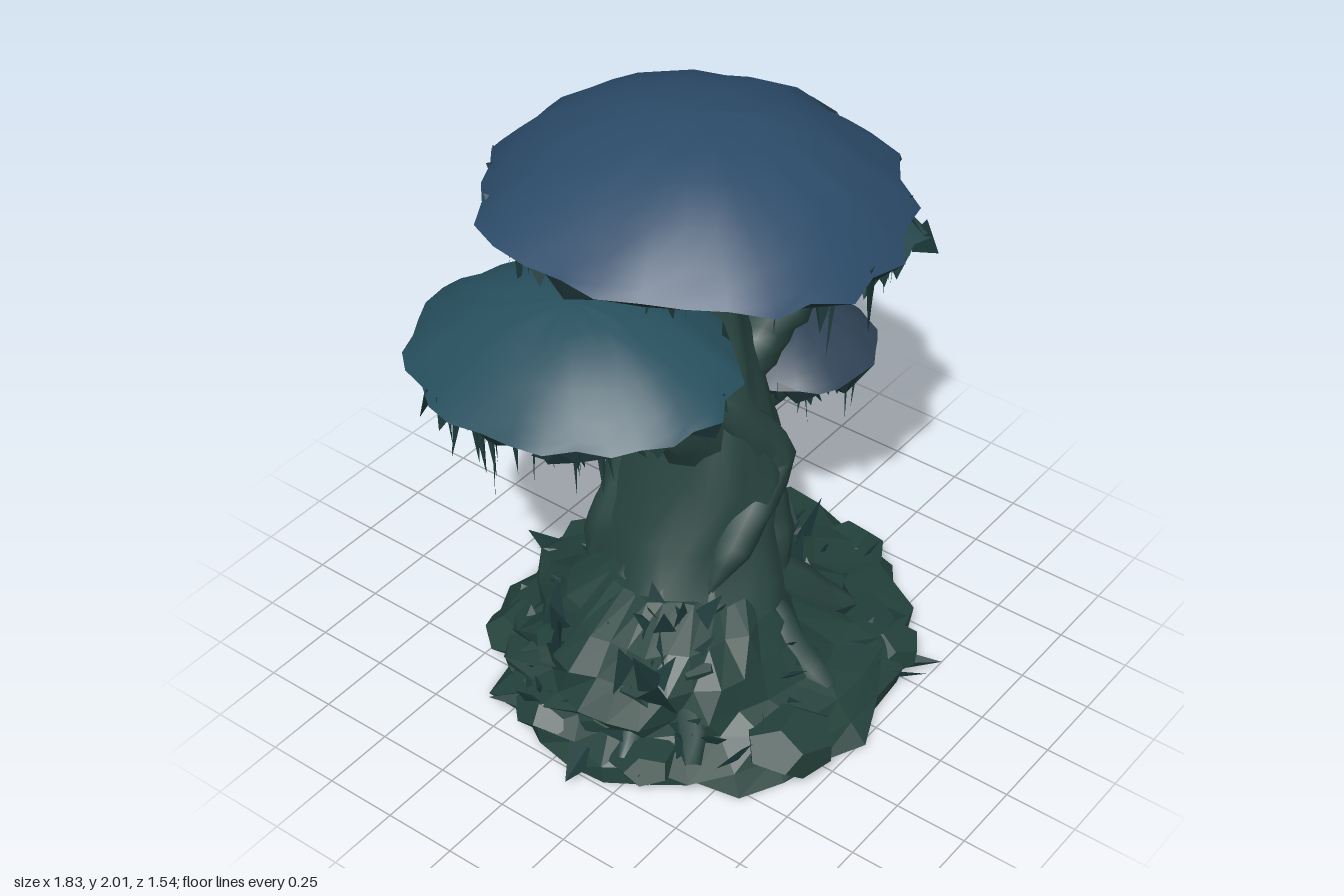
import * as THREE from 'three';
import { mergeGeometries } from 'three/addons/utils/BufferGeometryUtils.js';

let seed = 7;
const rnd = (a = 0, b = 1) => {
  seed = (seed * 16807) % 2147483647;
  return a + (b - a) * (seed / 2147483647);
};
const V = (x, y, z) => new THREE.Vector3(x, y, z);
const TAU = Math.PI * 2;

const material = (color, flatShading = false, side = THREE.FrontSide) =>
  new THREE.MeshStandardMaterial({ color, flatShading, side });
const barkMat = material(0x28443f);
const mossMat = material(0x23403a, true);
const underMat = material(0x1c3335, true, THREE.DoubleSide);
const vineMat = material(0x1d3a3a, true, THREE.DoubleSide);

function mesh(name, geometry, mat) {
  const m = new THREE.Mesh(geometry, mat);
  m.name = name;
  return m;
}

// Closed-ring surface; rings run upwards, each an array of points
function skin(rings) {
  const n = rings[0].length, idx = [];
  for (let i = 0; i < rings.length - 1; i++)
    for (let j = 0; j < n; j++) {
      const k = (j + 1) % n;
      const a = i * n + j, b = i * n + k, c = a + n, d = b + n;
      idx.push(a, c, b, b, c, d);
    }
  const g = new THREE.BufferGeometry().setFromPoints(rings.flat());
  g.setIndex(idx);
  g.computeVertexNormals();
  return g;
}

// Stack of horizontal ellipses [y, cx, cz, rx, rz] with a radius wobble
function stack(rows, n, wobble) {
  return skin(rows.map(([y, cx, cz, rx, rz]) => Array.from({ length: n }, (_, j) => {
    const a = (j / n) * TAU, w = wobble(a, y);
    return V(cx + Math.cos(a) * rx * w, y, cz + Math.sin(a) * rz * w);
  })));
}

// Limb along a curve with radii interpolated from a short list
function limb(points, radii, n = 9, steps = 12) {
  const curve = new THREE.CatmullRomCurve3(points.map(p => V(...p)));
  const f = curve.computeFrenetFrames(steps);
  const rings = [];
  for (let i = 0; i <= steps; i++) {
    const t = i / steps, s = t * (radii.length - 1), k = Math.min(Math.floor(s), radii.length - 2);
    const r = THREE.MathUtils.lerp(radii[k], radii[k + 1], s - k);
    rings.push(Array.from({ length: n }, (_, j) => {
      const a = (j / n) * TAU, w = r * rnd(0.86, 1.12);
      return curve.getPointAt(t)
        .addScaledVector(f.normals[i], Math.cos(a) * w)
        .addScaledVector(f.binormals[i], -Math.sin(a) * w);
    }));
  }
  return skin(rings);
}

// Thin pointed blade from a base point to a tip
function blade(base, tip, width) {
  const dir = tip.clone().sub(base), len = dir.length();
  const g = new THREE.ConeGeometry(width, len, 3, 1, true);
  g.scale(1, 1, 0.35).translate(0, len / 2, 0).rotateY(rnd(0, TAU));
  g.applyQuaternion(new THREE.Quaternion().setFromUnitVectors(V(0, 1, 0), dir.normalize()));
  return g.translate(base.x, base.y, base.z);
}

// Domed canopy with ragged drooping rim, folded underside and hanging vines
function canopy({ name, color, c, rx, rz, h, drop, tiltX, tiltZ, sag, vines }) {
  const group = new THREE.Group();
  group.name = name;
  const n = 32;
  const rim = Array.from({ length: n }, () => rnd(0.94, 1.04));
  const point = (j, u, y) => {
    const a = (j / n) * TAU, r = u * THREE.MathUtils.lerp(1, rim[j % n], u * u);
    const x = Math.cos(a) * rx * r, z = Math.sin(a) * rz * r;
    return V(c[0] + x, c[1] + y + x * tiltX + z * tiltZ - sag * (z / rz) ** 4, c[2] + z);
  };
  const ring = (u, y, jit = 0) =>
    Array.from({ length: n }, (_, j) => point(j, u * (1 + rnd(-jit, jit)), y + rnd(-jit, jit) * 0.5));
  const top = [1, 0.95, 0.85, 0.68, 0.48, 0.3, 0.14, 0]
    .map(u => ring(u, h * (1 - u ** 2.2), u > 0.2 && u < 0.9 ? 0.012 : 0));
  const under = [[0, -drop], [0.25, -drop * 0.95], [0.42, -drop * 0.72], [0.6, -drop * 0.46], [0.78, -drop * 0.24], [0.92, -0.025]]
    .map(([u, y]) => ring(u, y, u ? 0.1 : 0));
  under.push(top[0]);
  group.add(mesh('canopyTop', skin(top), material(color)), mesh('canopyUnderside', skin(under), underMat));

  // Broad ragged fringe and gills, then long thin vines
  const bits = [];
  for (let i = 0; i < vines * 3; i++) {
    const j = Math.floor(rnd(0, n)), u = rnd(0.3, 0.95);
    const b = point(j, u, -drop * (1 - u) * 0.8 + 0.01);
    bits.push(blade(b, b.clone().add(V(rnd(-0.08, 0.08), -rnd(0.03, 0.12), rnd(-0.08, 0.08))), rnd(0.03, 0.07)));
  }
  for (let i = 0; i < vines; i++) {
    const j = Math.floor(rnd(0, n)), u = rnd(0.6, 0.95);
    const b = point(j, u, -drop * (1 - u) * 0.8);
    bits.push(blade(b, b.clone().add(V(rnd(-0.02, 0.02), -rnd(0.1, 0.27), rnd(-0.02, 0.02))), rnd(0.007, 0.02)));
  }
  group.add(mesh('hangingVines', mergeGeometries(bits), vineMat));
  return group;
}

export function createModel() {
  seed = 7;
  const model = new THREE.Group();
  model.name = 'giantTree';

  // Rough earth mound with a flat bottom, higher on its right
  model.add(mesh('mound', stack([
    [0, -0.02, 0.05, 0, 0], [0, -0.01, 0.06, 0.75, 0.68], [0.06, -0.01, 0.05, 0.73, 0.66],
    [0.13, -0.01, 0.03, 0.7, 0.6], [0.18, -0.1, 0.05, 0.57, 0.51], [0.28, -0.19, 0.07, 0.43, 0.4],
    [0.38, -0.2, 0.07, 0.35, 0.33], [0.46, -0.15, 0.05, 0.22, 0.24], [0.5, -0.1, 0.02, 0, 0],
  ], 30, () => rnd(0.9, 1.06)), mossMat));

  // Twisted, lobed trunk flaring into the top canopy
  model.add(mesh('trunk', stack([
    [0.15, -0.11, 0.06, 0.42, 0.4], [0.3, -0.11, 0.06, 0.33, 0.33], [0.45, -0.08, 0.05, 0.27, 0.3],
    [0.6, -0.04, 0.01, 0.24, 0.28], [0.8, 0.01, 0.02, 0.19, 0.29], [1, 0.03, 0, 0.17, 0.24],
    [1.2, 0.05, -0.04, 0.15, 0.22], [1.4, 0.05, -0.05, 0.13, 0.18], [1.55, 0.05, -0.05, 0.15, 0.19],
    [1.65, 0.05, -0.05, 0.22, 0.26], [1.72, 0.06, -0.05, 0.34, 0.36], [1.78, 0.06, -0.05, 0.4, 0.42],
  ], 24, (a, y) => 1 + 0.07 * Math.sin(4 * a + y * 5) + 0.04 * Math.sin(7 * a - y * 4)), barkMat));

  // Main branches, some splitting in two beneath their canopies
  const branches = {
    rightUpperBranch: [[[0.05, 0.8, 0.05], [-0.14, 1.08, 0.04], [-0.32, 1.25, -0.02], [-0.48, 1.44, -0.08]], [0.14, 0.15, 0.14, 0.24]],
    rightUpperFork: [[[-0.05, 1.0, -0.02], [-0.22, 1.18, -0.12], [-0.4, 1.4, -0.3]], [0.1, 0.11, 0.14]],
    leftUpperBranch: [[[0.02, 0.85, -0.05], [0.2, 1.08, -0.08], [0.36, 1.22, -0.1], [0.5, 1.4, -0.11]], [0.14, 0.13, 0.13, 0.22]],
    leftUpperFork: [[[0.08, 1.0, 0.05], [0.24, 1.2, 0.1], [0.42, 1.38, 0.16]], [0.1, 0.1, 0.12]],
    leftLowerBranch: [[[0.05, 0.5, -0.02], [0.22, 0.7, -0.03], [0.36, 0.78, -0.05], [0.5, 0.9, -0.06]], [0.14, 0.13, 0.1, 0.18]],
    backBranch: [[[0.02, 1.0, -0.1], [0.12, 1.2, -0.22], [0.34, 1.36, -0.36]], [0.12, 0.1, 0.13]],
    rightCrownFork: [[[0.02, 1.45, -0.02], [-0.08, 1.6, 0.05], [-0.22, 1.76, 0.16]], [0.09, 0.08, 0.1]],
    leftCrownFork: [[[0.08, 1.45, -0.08], [0.17, 1.6, -0.16], [0.32, 1.76, -0.24]], [0.09, 0.08, 0.1]],
  };
  for (const [name, [pts, radii]] of Object.entries(branches)) model.add(mesh(name, limb(pts, radii), barkMat));

  // Strands winding down the trunk
  const strands = [
    [[-0.15, 1.25, 0.08], [0.0, 1.0, 0.18], [0.1, 0.8, 0.23], [-0.06, 0.65, 0.24], [-0.27, 0.45, 0.24]],
    [[0.12, 1.1, 0.08], [0.15, 0.85, 0.14], [0.13, 0.6, 0.19], [0.08, 0.3, 0.3]],
    [[-0.1, 1.15, -0.12], [0.05, 0.9, -0.18], [0.13, 0.65, -0.17], [0.17, 0.3, -0.2]],
    [[0.12, 1.2, -0.16], [-0.02, 0.85, -0.2], [-0.14, 0.6, -0.19], [-0.26, 0.3, -0.24]],
  ];
  strands.forEach(p => model.add(mesh('trunkStrand', limb(p, [0, 0.07, 0.08, 0.08, 0.08, 0], 8, 16), barkMat)));

  // Roots spreading over the mound
  for (let i = 0; i < 9; i++) {
    const a = (i / 9) * TAU + rnd(-0.2, 0.2), b = a + rnd(-0.25, 0.25);
    const at = (r, y, t) => [-0.09 + Math.cos(t) * r, y, 0.06 + Math.sin(t) * r * 0.95];
    model.add(mesh('root', limb([at(0.14, 0.6, a), at(0.25, 0.38, a), at(0.43, 0.2, b), at(0.62, 0.08, b)],
      [0, 0.07, 0.08, 0.07, 0.03], 7, 10), barkMat));
  }

  // Ground slabs reaching past the mound's edge, then jagged rocks on the slope
  const rocks = [];
  const rock = (x, y, z, s) => {
    const g = new THREE.DodecahedronGeometry(s, 0);
    rocks.push(g.rotateX(rnd(0, TAU)).rotateY(rnd(0, TAU)).scale(1, 0.6, 1).translate(x, y, z));
  };
  for (const [x, z, s] of [[-0.3, 0.61, 0.16], [0.28, 0.6, 0.12], [-0.62, 0.28, 0.12], [0.6, 0.22, 0.13],
    [0.1, -0.5, 0.13], [-0.4, -0.4, 0.14], [0.5, -0.33, 0.13], [-0.62, -0.1, 0.13]]) rock(x, s * 0.6, z, s);
  for (let i = 0; i < 22; i++) {
    const a = rnd(0, TAU), r = rnd(0.36, 0.6);
    rock(-0.1 + Math.cos(a) * r, 0.4 - r * 0.55, 0.06 + Math.sin(a) * r * 0.9, rnd(0.05, 0.09));
  }
  for (const [x, y, z] of [[-0.5, 0.25, 0.2], [-0.44, 0.32, 0.06], [-0.5, 0.24, -0.14], [-0.38, 0.31, 0.28], [-0.3, 0.3, -0.2]])
    rock(x, y, z, 0.11);
  model.add(mesh('rocks', mergeGeometries(rocks), mossMat));

  // Leafy blades: scattered ones plus clumps
  const leaves = [];
  for (let i = 0; i < 150; i++) {
    const a = rnd(0, TAU), r = rnd(0.32, 0.66);
    const b = V(-0.06 + Math.cos(a) * r, 0.4 - r * 0.54, 0.06 + Math.sin(a) * r * 0.9);
    leaves.push(blade(b, b.clone().add(V(Math.cos(a) * 0.05 + rnd(-0.1, 0.1), rnd(0.02, 0.12),
      Math.sin(a) * 0.05 + rnd(-0.1, 0.1))), rnd(0.04, 0.09)));
  }
  for (const [x, y, z, len] of [[0.36, 0.12, 0.15, 0.4], [-0.5, 0.24, 0.2, 0.25], [-0.47, 0.24, -0.12, 0.22],
    [-0.34, 0.32, 0.24, 0.24], [0.15, 0.15, -0.4, 0.16]])
    for (let i = 0; i < 9; i++) {
      const b = V(x + rnd(-0.06, 0.06), y, z + rnd(-0.08, 0.08));
      leaves.push(blade(b, b.clone().add(V(rnd(-0.12, 0.12), len * rnd(0.5, 1), rnd(-0.12, 0.12))), rnd(0.06, 0.1)));
    }
  for (const [x, z, tx, tz] of [[0.2, 0.6, 0.36, 0.77], [0.12, 0.6, 0.28, 0.76], [0, -0.55, 0.05, -0.77], [-0.7, 0.1, -0.83, 0.12]])
    leaves.push(blade(V(x, 0.06, z), V(tx, 0.03, tz), 0.07));
  model.add(mesh('undergrowth', mergeGeometries(leaves), vineMat));

  // Four canopies
  [
    { name: 'topCanopy', color: 0x2b4a68, c: [0.065, 1.74, -0.06], rx: 0.64, rz: 0.69, h: 0.26, drop: 0.14, tiltX: 0, tiltZ: 0, sag: 0.06, vines: 34 },
    { name: 'rightCanopy', color: 0x274f5e, c: [-0.51, 1.44, -0.08], rx: 0.41, rz: 0.56, h: 0.2, drop: 0.22, tiltX: 0.13, tiltZ: 0.06, sag: 0.02, vines: 28 },
    { name: 'leftCanopy', color: 0x2a4a50, c: [0.54, 1.41, -0.11], rx: 0.37, rz: 0.56, h: 0.15, drop: 0.22, tiltX: -0.09, tiltZ: 0.06, sag: 0.01, vines: 28 },
    { name: 'lowerCanopy', color: 0x2f4356, c: [0.55, 0.91, -0.06], rx: 0.33, rz: 0.35, h: 0.13, drop: 0.14, tiltX: -0.03, tiltZ: 0, sag: 0.01, vines: 15 },
  ].forEach(o => model.add(canopy(o)));

  // Long shreds drooping from the front and back of the top canopy
  const shreds = [[0.1, 0.58, 1.45], [-0.1, 0.54, 1.55], [0.1, -0.67, 1.43], [0.25, -0.6, 1.52], [-0.2, -0.58, 1.56], [-0.36, 0.2, 1.6]]
    .map(([x, z, y]) => blade(V(x, 1.71, z), V(x, y, z), 0.05));
  model.add(mesh('canopyShreds', mergeGeometries(shreds), vineMat));

  return model;
}
